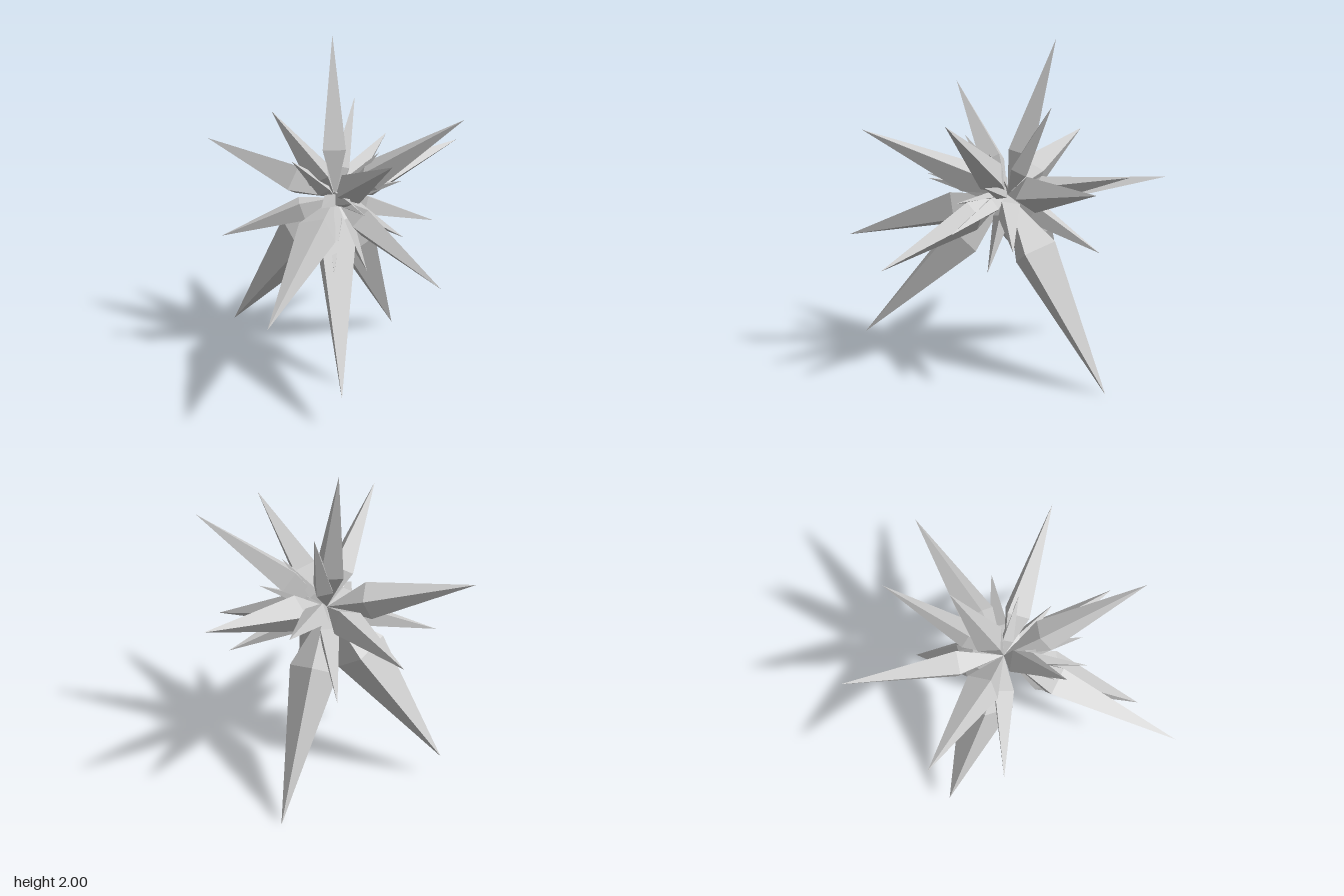
import * as THREE from 'three';

// Crystal burst: four-sided double-pointed shards growing from one core.
const CORE = new THREE.Vector3(-0.02, 1.08, -0.02);

// Shard tips: x, y, z, radius as a share of length
const TALL = [
  [-0.23, 2.0, -0.2, 0.1], [0.66, 1.62, -0.37, 0.1], [0.76, 1.51, 0.32, 0.1],
  [-0.84, 1.34, 0.28, 0.12], [-0.86, 1.16, -0.49, 0.1], [-0.01, 1.7, 0.48, 0.11],
  [0.11, 1.28, -0.96, 0.11], [-0.31, 1.28, -0.76, 0.1], [0.85, 0.76, 0.01, 0.1],
  [0.49, 0.7, 0.97, 0.1], [0.63, 0.2, 0.56, 0.11], [-0.2, 0, -0.72, 0.11],
  [-0.7, 0.16, 0.22, 0.14],
];
const SHORT = [
  [-0.13, 1.63, -0.29, 0.11], [-0.47, 0.85, 0.49, 0.11], [0.02, 1.39, 0.36, 0.11],
  [0.32, 0.9, -0.52, 0.12], [-0.39, 0.75, -0.43, 0.12], [0.21, 1.38, -0.15, 0.11],
  [0.31, 1.21, -0.24, 0.11], [0.37, 1.19, 0.23, 0.12], [0.28, 1.18, 0.38, 0.1],
  [0.45, 0.93, -0.11, 0.11], [0.3, 1.06, 0.05, 0.11], [0.18, 0.65, -0.09, 0.11],
  [0.3, 0.77, 0.3, 0.11],
];

export function createModel() {
  const group = new THREE.Group();
  group.name = 'crystalBurst';
  const crystal = new THREE.MeshStandardMaterial({ color: 0xcccccc, flatShading: true });
  crystal.name = 'pale grey crystal';
  const up = new THREE.Vector3(0, 1, 0);

  // One shard: a point at the core, a shoulder, then a long taper to the tip
  function addShard(name, [x, y, z, width]) {
    const axis = new THREE.Vector3(x, y, z).sub(CORE);
    const length = axis.length();
    const profile = [
      new THREE.Vector2(0, 0),
      new THREE.Vector2(width * length, 0.29 * length),
      new THREE.Vector2(0, length),
    ];
    const shard = new THREE.Mesh(new THREE.LatheGeometry(profile, 4), crystal);
    shard.name = name;
    shard.position.copy(CORE);
    shard.quaternion.setFromUnitVectors(up, axis.normalize());
    group.add(shard);
  }

  TALL.forEach((tip, i) => addShard(`longShard${i + 1}`, tip));
  SHORT.forEach((tip, i) => addShard(`shortShard${i + 1}`, tip));
  return group;
}
